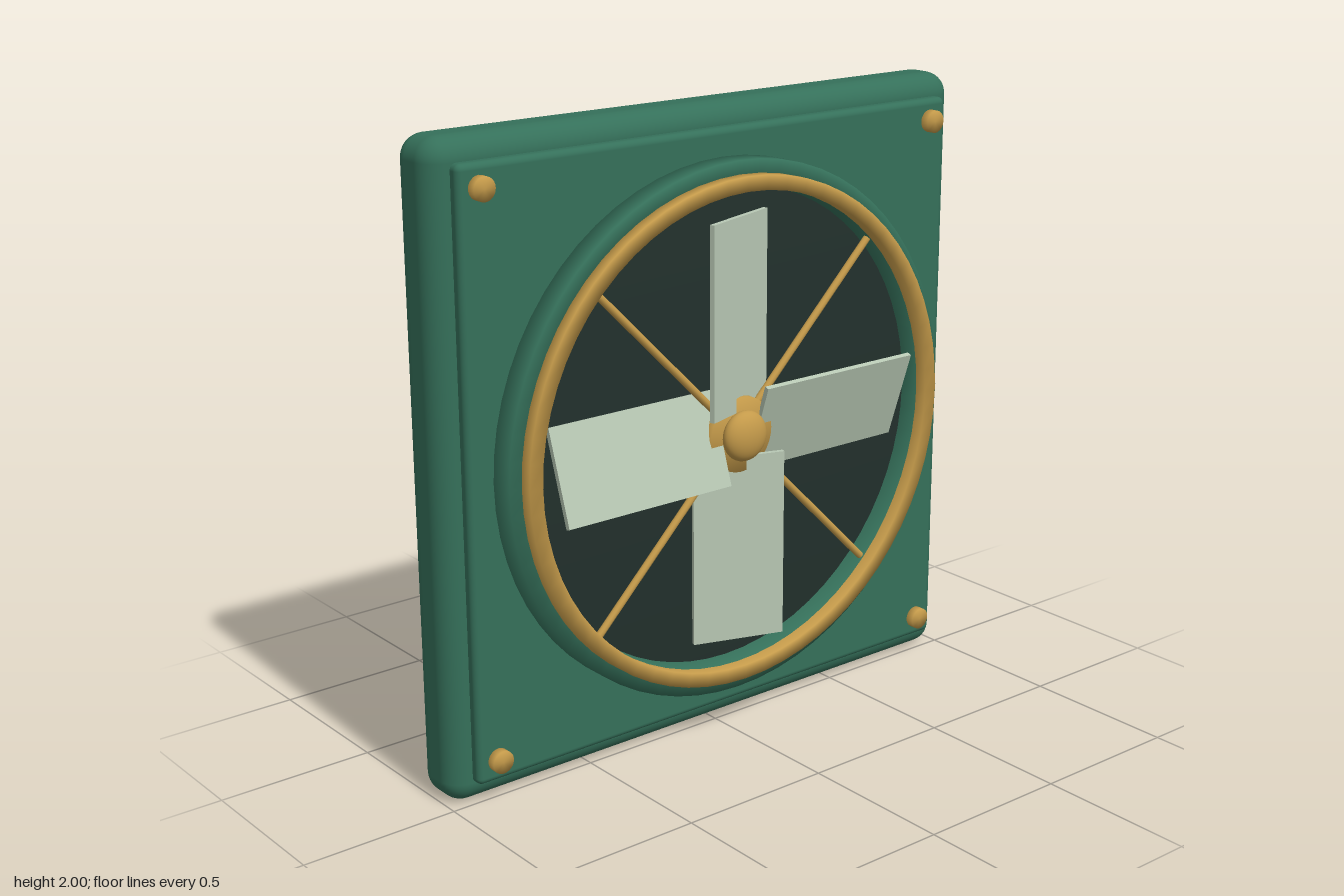
import * as THREE from 'three';
import { RoundedBoxGeometry } from 'three/addons/geometries/RoundedBoxGeometry.js';

const mat = (color) => new THREE.MeshStandardMaterial({ color });

export function createModel() {
  const group = new THREE.Group();
  const green = mat(0x35705a);
  const brass = mat(0xc49a4a);
  const dark = mat(0x22302c);
  const pale = mat(0xb8c8b4);

  const add = (name, geometry, material, x = 0, y = 0, z = 0, parent = group) => {
    const mesh = new THREE.Mesh(geometry, material);
    mesh.name = name;
    mesh.position.set(x, y, z);
    parent.add(mesh);
    return mesh;
  };

  // Turned shapes along z, with softly shaded edges
  const turned = (points, segments) =>
    new THREE.LatheGeometry(points.map(([r, z]) => new THREE.Vector2(r, z)), segments).rotateX(Math.PI / 2);
  const disc = (r, back, front, segments = 64) =>
    turned([[0, back], [r, back], [r, front], [0, front]], segments);
  const ring = (inner, outer, back, front) =>
    turned([[inner, back], [outer, back], [outer, front], [inner, front], [inner, back]], 64);

  // Housing: thick rounded body with a thin raised plate
  add('housing', new RoundedBoxGeometry(2, 2, 0.19, 5, 0.07), green, 0, 1, -0.095);
  add('frontPlate', new RoundedBoxGeometry(1.86, 1.86, 0.07, 4, 0.02), green, 0, 1, 0);

  // Corner bolts
  for (const x of [-0.86, 0.86]) {
    for (const y of [0.14, 1.86]) add('bolt', disc(0.036, 0.02, 0.063, 24), brass, x, y);
  }

  // Round opening: collar, dark backing and trim ring
  add('collar', ring(0.755, 0.845, 0.02, 0.115), green, 0, 1);
  add('backing', disc(0.757, 0, 0.05), dark, 0, 1);
  add('trimRing', ring(0.757, 0.803, 0.1, 0.155), brass, 0, 1);

  // Diagonal guard spokes
  for (let i = 0; i < 4; i++) {
    const angle = Math.PI / 4 + (i * Math.PI) / 2;
    const spoke = add('spoke', new THREE.CylinderGeometry(0.012, 0.012, 0.76, 10), brass,
      0.38 * Math.cos(angle), 1 + 0.38 * Math.sin(angle), 0.1);
    spoke.rotation.z = angle - Math.PI / 2;
  }

  // Fan: four pitched blades around a domed hub
  const fan = new THREE.Group();
  fan.name = 'fan';
  fan.position.set(0, 1, 0.112);
  group.add(fan);
  for (let i = 0; i < 4; i++) {
    const arm = new THREE.Group();
    arm.name = 'bladeArm';
    arm.rotation.z = (i * Math.PI) / 2;
    fan.add(arm);
    const blade = add('blade', new THREE.BoxGeometry(0.605, 0.3, 0.016), pale, 0.375, 0, 0, arm);
    blade.rotation.x = 0.32;
  }
  add('hub', disc(0.12, -0.07, 0.015, 32), brass, 0, 0, 0, fan);
  const cap = add('hubCap', new THREE.SphereGeometry(0.08, 32, 20), brass, 0, 0, 0.03, fan);
  cap.scale.z = 0.54;

  return group;
}
